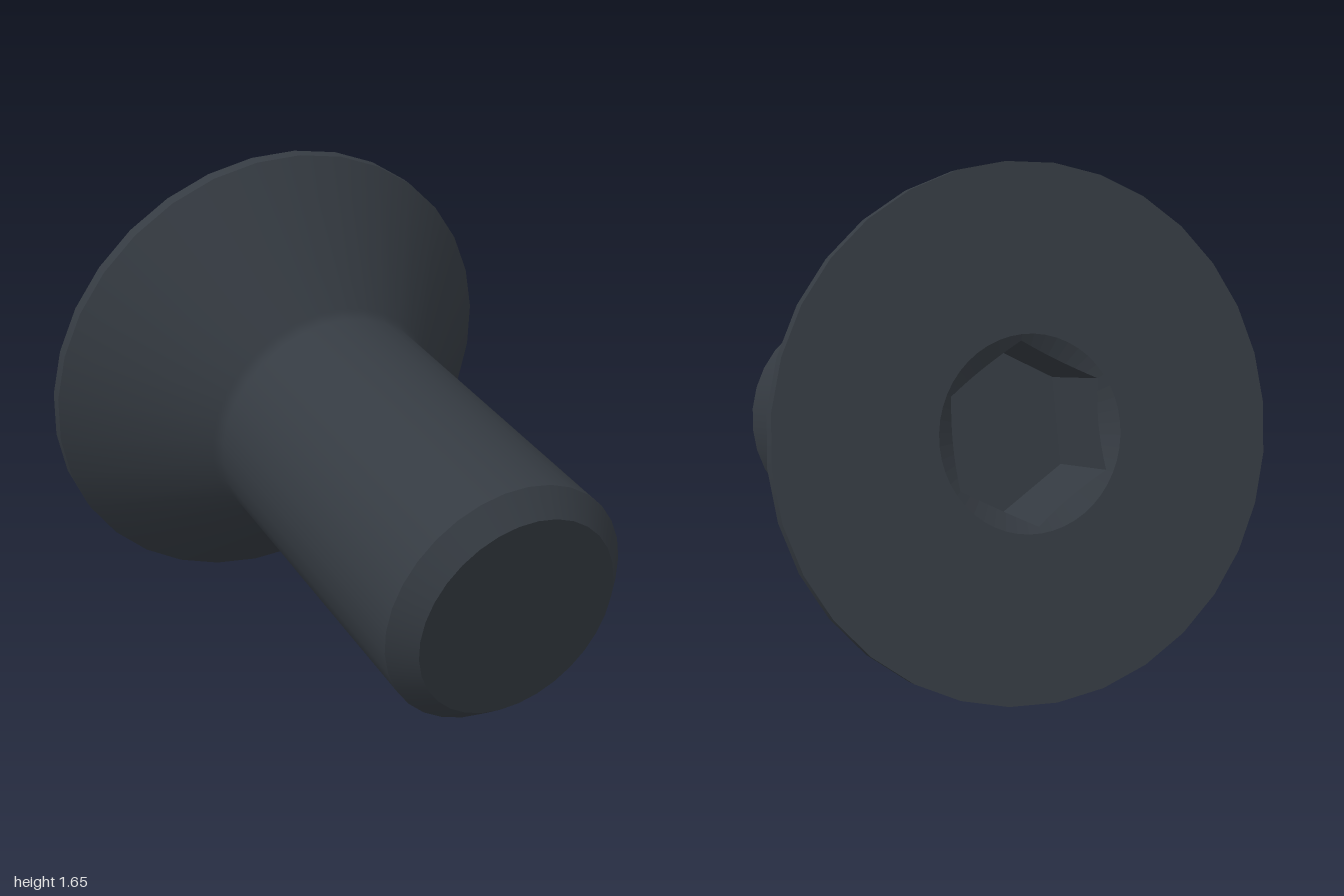
import * as THREE from 'three';

const SIDES = 32;
const HEAD_R = 0.85, SHAFT_R = 0.422, TIP_R = 0.349, LENGTH = 1.705;
const HOLE_R = 0.313, HEX_R = 0.293, SOCKET_DEPTH = 0.33, STEPS = 8;

export function createModel() {
  const steel = new THREE.MeshStandardMaterial({ color: 0x353b42 });
  steel.name = 'darkSteel';

  const screw = new THREE.Group();
  screw.name = 'countersunkScrew';
  const add = (name, geometry) => {
    const mesh = new THREE.Mesh(geometry, steel);
    mesh.name = name;
    screw.add(mesh);
  };
  // Local +y runs from the head face to the tip.
  const turn = (name, points) =>
    add(name, new THREE.LatheGeometry(points.map(p => new THREE.Vector2(...p)), SIDES));

  // Turned body, split where edges are sharp
  turn('headRim', [[HEAD_R, 0], [HEAD_R, 0.045]]);
  turn('headConeAndShaft', [
    [HEAD_R, 0.045], [0.444, 0.451], [0.437, 0.458], [0.426, 0.472],
    [SHAFT_R, 0.49], [SHAFT_R, 0.51], [SHAFT_R, LENGTH - 0.076],
  ]);
  turn('tipChamfer', [[SHAFT_R, LENGTH - 0.076], [TIP_R, LENGTH]]);
  turn('tipFace', [[TIP_R, LENGTH], [0, LENGTH]]);

  // Head face with the round socket opening
  const ring = (r, n) => Array.from({ length: n }, (_, i) => {
    const a = (i / n) * Math.PI * 2;
    return new THREE.Vector2(r * Math.sin(a), r * Math.cos(a));
  });
  const face = new THREE.Shape(ring(HEAD_R, SIDES));
  face.holes.push(new THREE.Path(ring(HOLE_R, 6 * STEPS)));
  add('headFace', new THREE.ShapeGeometry(face).rotateX(Math.PI / 2));

  // Socket: a shallow countersink cutting into six flat walls
  const at = (a, r, y) => [r * Math.sin(a), y, r * Math.cos(a)];
  const column = i => {
    const a = (i / (6 * STEPS)) * Math.PI * 2;
    const fromMid = ((i % STEPS) / STEPS - 0.5) * Math.PI / 3;
    const r = HEX_R * Math.cos(Math.PI / 6) / Math.cos(fromMid);
    return [at(a, HOLE_R, 0), at(a, r, (HOLE_R - r) / Math.sqrt(3)), at(a, r, SOCKET_DEPTH)];
  };
  const strip = (name, row) => {
    const positions = [];
    for (let i = 0; i < 6 * STEPS; i++) {
      const a = column(i), b = column(i + 1);
      positions.push(...a[row], ...a[row + 1], ...b[row], ...b[row], ...a[row + 1], ...b[row + 1]);
    }
    const geometry = new THREE.BufferGeometry();
    geometry.setAttribute('position', new THREE.Float32BufferAttribute(positions, 3));
    geometry.computeVertexNormals();
    add(name, geometry);
  };
  strip('socketCountersink', 0);
  strip('socketWalls', 1);
  add('socketFloor', new THREE.CircleGeometry(HEX_R, 6, Math.PI / 2)
    .rotateX(Math.PI / 2).translate(0, SOCKET_DEPTH, 0));

  // Lay the screw on its side, resting on head rim and tip
  const axis = new THREE.Vector3(0.945, -0.259, 0.201).normalize();
  const up = new THREE.Vector3(0, 1, 0).projectOnPlane(axis).normalize();
  const side = new THREE.Vector3().crossVectors(axis, up);
  screw.quaternion.setFromRotationMatrix(new THREE.Matrix4().makeBasis(side, axis, up));
  screw.position.set(-0.724, 0.834, -0.005);

  const model = new THREE.Group();
  model.name = 'screwModel';
  model.add(screw);
  return model;
}
